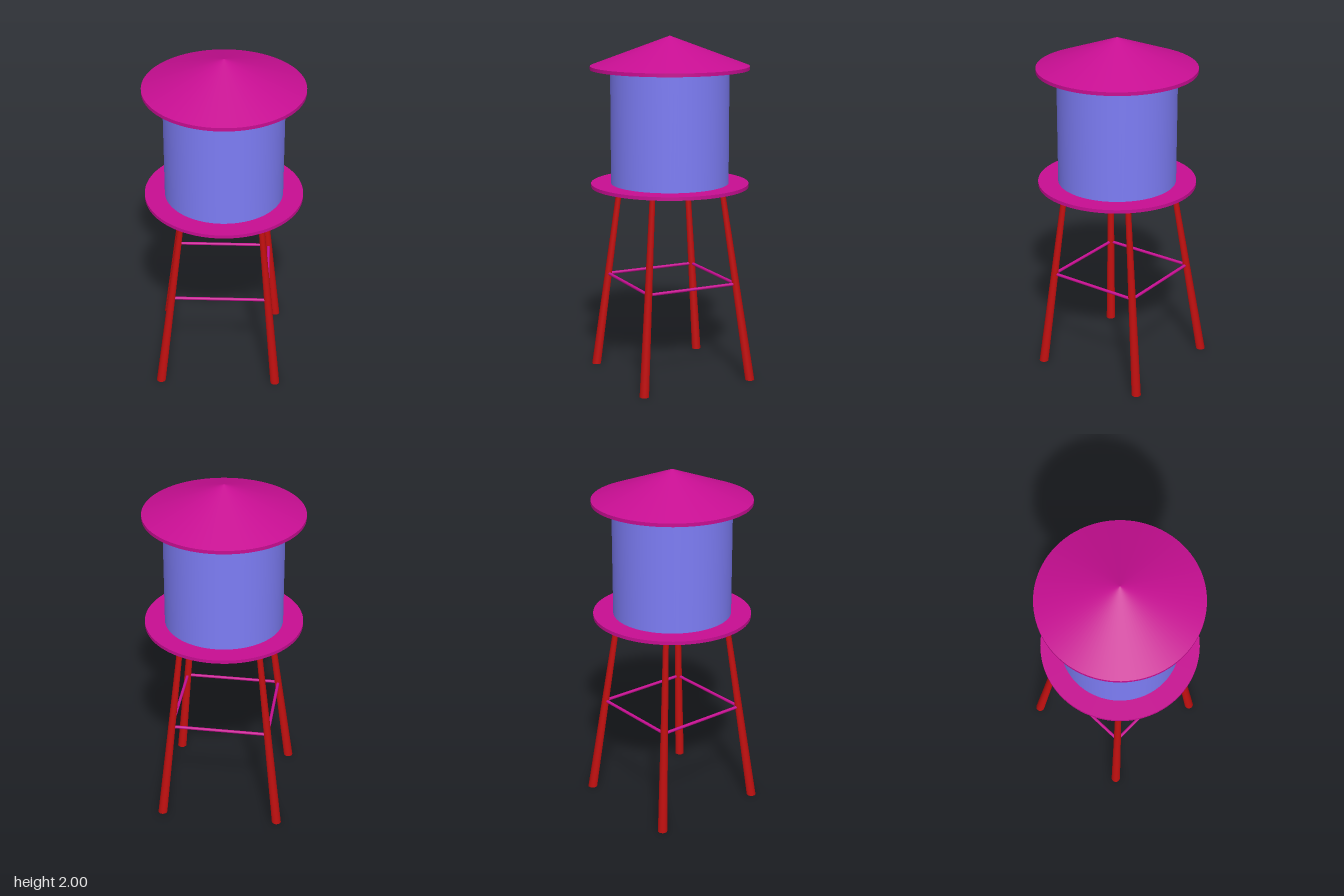
import * as THREE from 'three';

const red = new THREE.MeshStandardMaterial({ color: 0xc41010 });
const magenta = new THREE.MeshStandardMaterial({ color: 0xc70e92 });
const blue = new THREE.MeshStandardMaterial({ color: 0x7d7df5 });

export function createModel() {
  const model = new THREE.Group();
  model.name = 'waterTower';

  const add = (name, geometry, material) => {
    const mesh = new THREE.Mesh(geometry, material);
    mesh.name = name;
    model.add(mesh);
    return mesh;
  };
  const drum = (name, radius, y0, y1, material) => {
    add(name, new THREE.CylinderGeometry(radius, radius, y1 - y0, 96), material).position.y = (y0 + y1) / 2;
  };

  // Tank standing on a round platform
  drum('platform', 0.455, 1.135, 1.155, magenta);
  drum('tank', 0.34, 1.155, 1.81, blue);

  // Conical roof with a thin rim
  drum('roofRim', 0.455, 1.81, 1.83, magenta);
  add('roof', new THREE.ConeGeometry(0.455, 0.17, 96, 1, true), magenta).position.y = 1.915;

  // Splayed, tapered legs, slightly off-centre towards -x and -z
  const legHeight = 1.135;
  const foot = { '-1': -0.367, '1': 0.317 };
  const head = { '-1': -0.228, '1': 0.212 };
  const at = (side, y) => THREE.MathUtils.lerp(foot[side], head[side], y / legHeight);
  const corners = [[1, 1], [1, -1], [-1, -1], [-1, 1]];
  const legNames = ['frontLeftLeg', 'backLeftLeg', 'backRightLeg', 'frontRightLeg'];
  corners.forEach(([sx, sz], i) => {
    const geometry = new THREE.CylinderGeometry(0.016, 0.027, legHeight, 24);
    geometry.translate(0, legHeight / 2, 0);
    // Shear so both ends stay level
    const p = geometry.attributes.position;
    for (let v = 0; v < p.count; v++) {
      const y = p.getY(v);
      p.setXYZ(v, p.getX(v) + at(sx, y), y, p.getZ(v) + at(sz, y));
    }
    geometry.computeBoundingSphere();
    add(legNames[i], geometry, red);
  });

  // Square ring of thin braces joining neighbouring legs
  const braceY = 0.575;
  const braceNames = ['leftBrace', 'backBrace', 'rightBrace', 'frontBrace'];
  corners.forEach(([sx, sz], i) => {
    const [tx, tz] = corners[(i + 1) % 4];
    const a = new THREE.Vector3(at(sx, braceY), braceY, at(sz, braceY));
    const b = new THREE.Vector3(at(tx, braceY), braceY, at(tz, braceY));
    add(braceNames[i], new THREE.TubeGeometry(new THREE.LineCurve3(a, b), 1, 0.009, 12), magenta);
  });

  return model;
}
